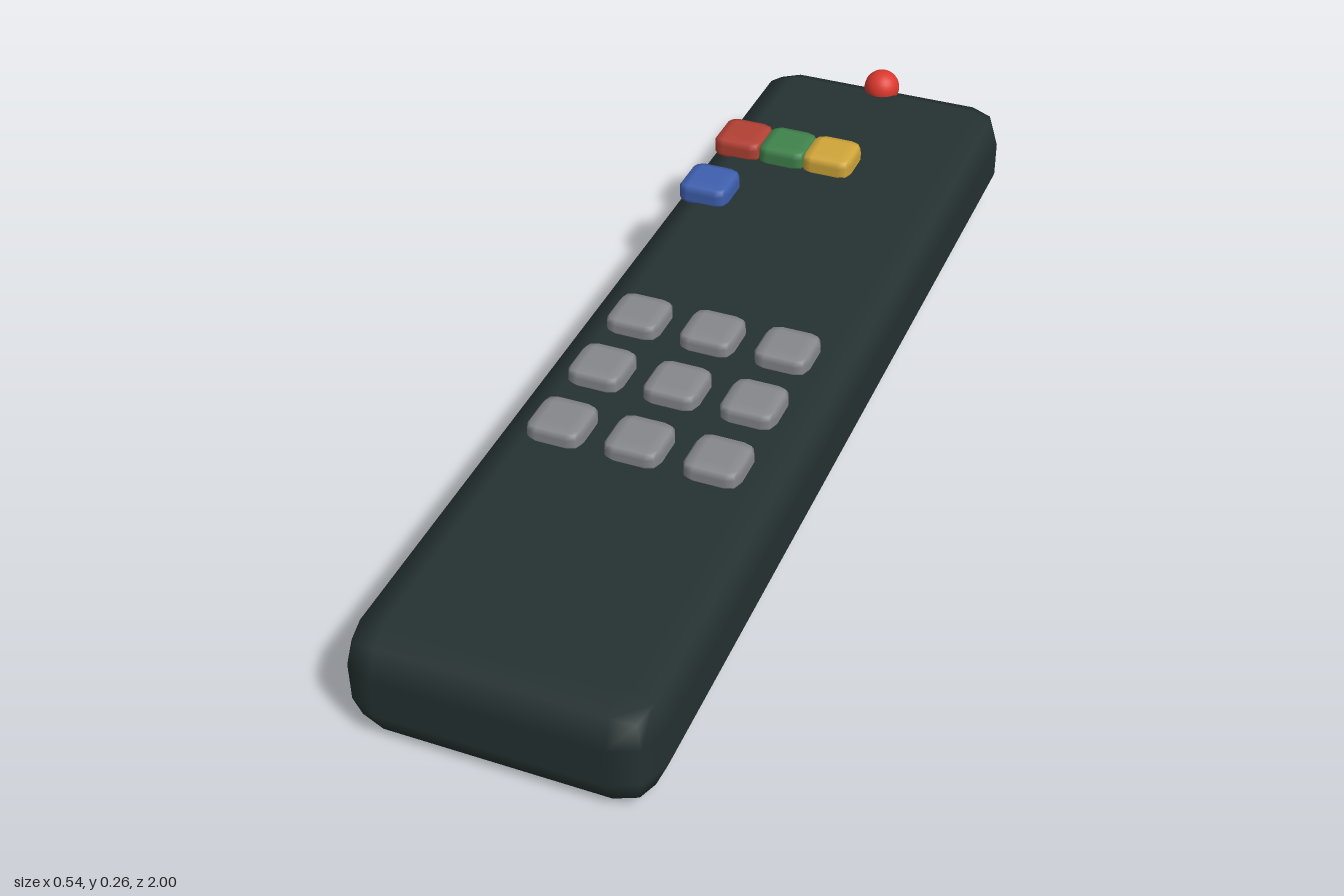
import * as THREE from 'three';
import { RoundedBoxGeometry } from 'three/addons/geometries/RoundedBoxGeometry.js';

function material(name, color) {
  const m = new THREE.MeshStandardMaterial({ color });
  m.name = name;
  return m;
}

// Pillow-shaped key: a bevelled block flattened to the wanted height
function keyGeometry(size, height) {
  const bevel = 0.025, block = 0.075;
  return new RoundedBoxGeometry(size, block, size, 1, bevel).scale(1, height / block, 1);
}

export function createModel() {
  const model = new THREE.Group();
  model.name = 'remoteControl';

  const casing = material('dark casing', 0x253131);
  const grey = material('grey key', 0x87888c);
  const red = material('red key', 0xb34034);
  const green = material('green key', 0x3f824c);
  const yellow = material('yellow key', 0xd0a63a);
  const blue = material('blue key', 0x3f60ae);
  const signal = material('signal red', 0xdb382e);

  function add(parent, name, geometry, mat, x, y, z) {
    const mesh = new THREE.Mesh(geometry, mat);
    mesh.name = name;
    mesh.position.set(x, y, z);
    parent.add(mesh);
    return mesh;
  }

  // Casing
  add(model, 'body', new RoundedBoxGeometry(0.544, 0.218, 2, 1, 0.072), casing, 0, 0.109, 0);

  // Three by three keypad
  const keypad = new THREE.Group();
  keypad.name = 'keypad';
  model.add(keypad);
  const numberKey = keyGeometry(0.107, 0.04);
  for (let row = 0; row < 3; row++) {
    for (let col = 0; col < 3; col++) {
      add(keypad, `key${row * 3 + col + 1}`, numberKey, grey,
        (col - 1) * 0.146, 0.23, 0.055 + row * 0.17);
    }
  }

  // Coloured keys: a row of three with one below the first
  const colourKeys = new THREE.Group();
  colourKeys.name = 'colourKeys';
  model.add(colourKeys);
  const colourKey = keyGeometry(0.107, 0.05);
  add(colourKeys, 'redKey', colourKey, red, -0.195, 0.231, -0.612);
  add(colourKeys, 'greenKey', colourKey, green, -0.097, 0.231, -0.612);
  add(colourKeys, 'yellowKey', colourKey, yellow, 0, 0.231, -0.612);
  add(colourKeys, 'blueKey', colourKey, blue, -0.195, 0.231, -0.418);

  // Signal lamp at the far end
  add(model, 'signalLamp', new THREE.SphereGeometry(0.038, 24, 16), signal, 0, 0.223, -0.948);

  return model;
}
